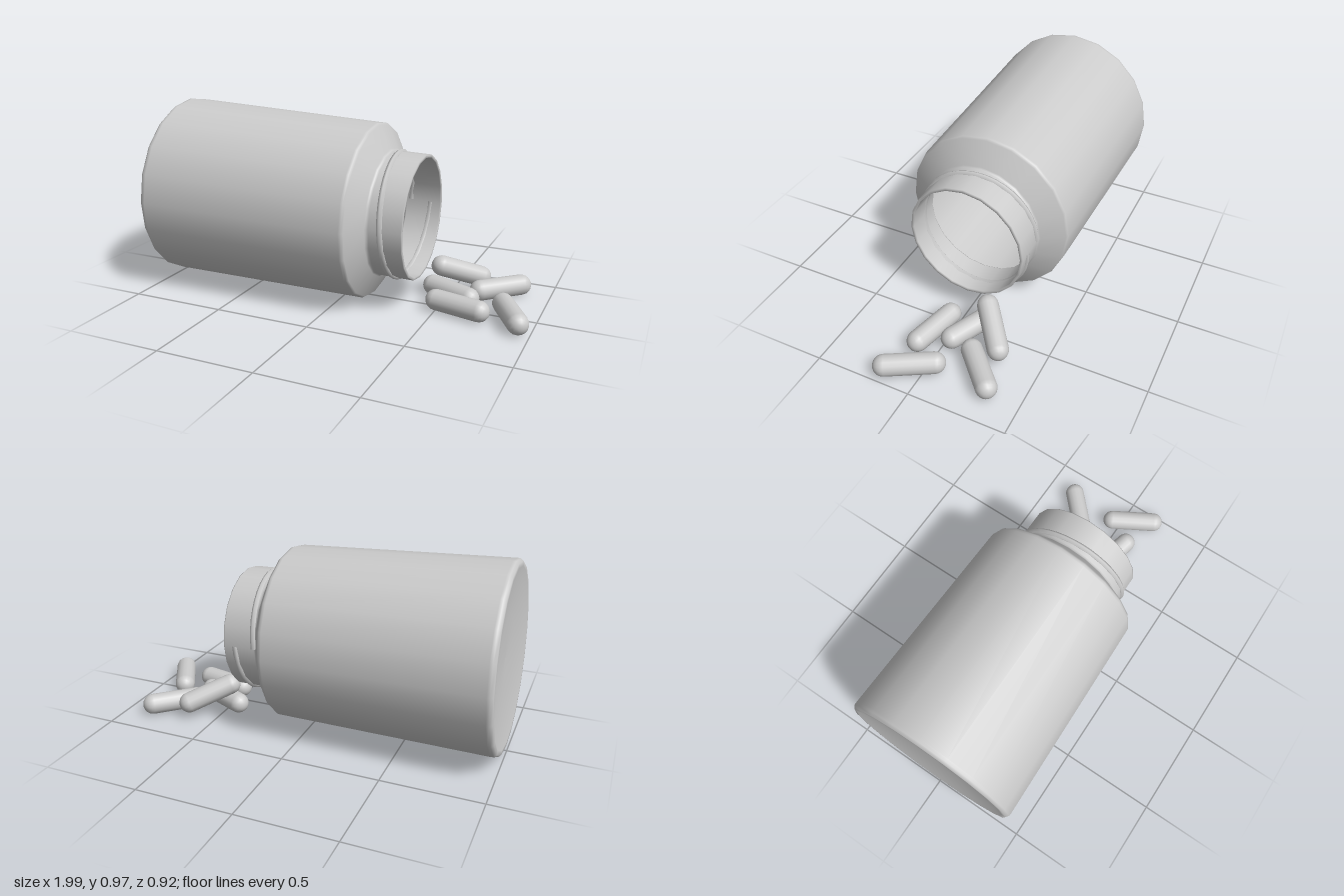
import * as THREE from 'three';

const grey = new THREE.MeshStandardMaterial({ color: 0xcccccc });

function part(name, geometry, parent) {
  const mesh = new THREE.Mesh(geometry, grey);
  mesh.name = name;
  parent.add(mesh);
  return mesh;
}

// One turn of thread winding round the neck
class ThreadCurve extends THREE.Curve {
  getPoint(u, target = new THREE.Vector3()) {
    const a = u * Math.PI * 2, r = 0.299;
    return target.set(-r * Math.sin(a), 1.222 + 0.107 * u, -r * Math.cos(a));
  }
}

function createBottle() {
  const bottle = new THREE.Group();
  bottle.name = 'bottle';

  // [radius, distance from base]: dished base, outer wall, lip, inner wall, floor
  const profile = [
    [0, 0.035], [0.2, 0.03], [0.38, 0.012], [0.425, 0], [0.446, 0.001], [0.457, 0.015], [0.458, 0.03],
    [0.433, 1.12], [0.431, 1.132], [0.424, 1.143],
    [0.316, 1.203], [0.308, 1.209], [0.306, 1.22],
    [0.305, 1.385], [0.303, 1.39], [0.292, 1.39], [0.29, 1.385],
    [0.291, 1.2], [0.298, 1.19], [0.41, 1.13], [0.418, 1.115],
    [0.443, 0.06], [0.43, 0.045], [0, 0.05],
  ].map(([r, y]) => new THREE.Vector2(r, y));
  part('bottleShell', new THREE.LatheGeometry(profile, 20), bottle);
  part('neckThread', new THREE.TubeGeometry(new ThreadCurve(), 40, 0.016, 6), bottle);

  // Lying on its side, mouth towards +x, slightly taller than deep
  bottle.scale.x = 1.05;
  bottle.rotation.z = -Math.PI / 2 - 0.024;
  bottle.position.set(-0.985, 0.495, 0);
  return bottle;
}

// Capsule between the centres of its two round ends
function addPill(parent, from, to) {
  const a = new THREE.Vector3(...from), b = new THREE.Vector3(...to);
  const dir = b.clone().sub(a);
  const pill = part('pill', new THREE.CapsuleGeometry(0.054, dir.length(), 6, 16), parent);
  pill.position.copy(a).add(b).multiplyScalar(0.5);
  pill.quaternion.setFromUnitVectors(new THREE.Vector3(0, 1, 0), dir.normalize());
}

export function createModel() {
  const model = new THREE.Group();
  model.name = 'spilledPillBottle';
  model.add(createBottle());

  // Spilled pills, one propped up on another
  const pills = new THREE.Group();
  pills.name = 'pills';
  const y = 0.055;
  [
    [[0.465, 0.165, -0.15], [0.64, 0.085, -0.29]],
    [[0.67, y, -0.165], [0.845, y, -0.33]],
    [[0.425, y, -0.14], [0.645, y, -0.04]],
    [[0.5, y, 0.045], [0.735, y, 0.1]],
    [[0.82, y, -0.045], [0.94, y, 0.165]],
  ].forEach(([from, to]) => addPill(pills, from, to));
  model.add(pills);
  return model;
}
